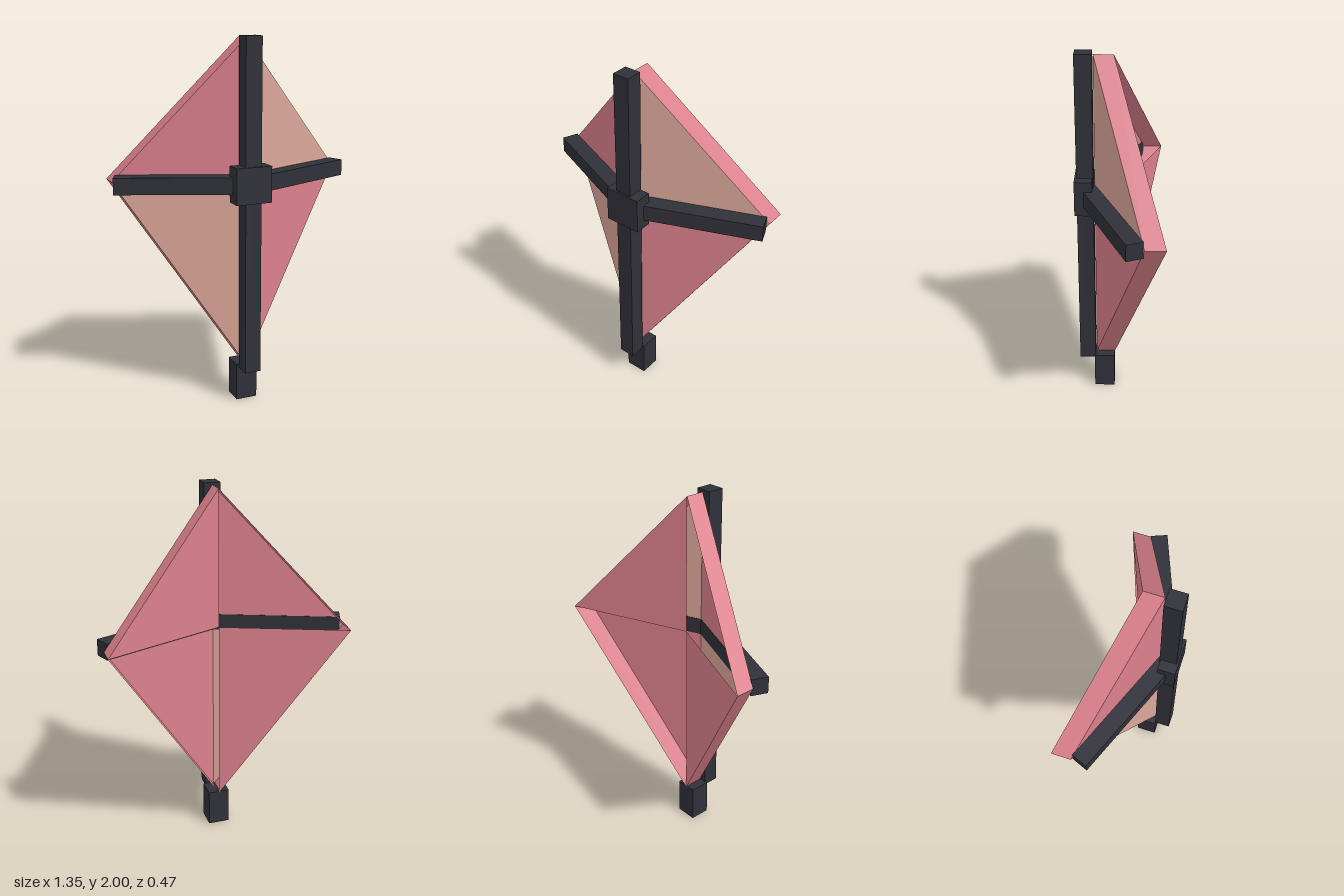
import * as THREE from 'three';

export function createModel() {
  const group = new THREE.Group();
  group.name = 'kite';

  const cloth = (name, color) => {
    const m = new THREE.MeshStandardMaterial({ color, side: THREE.DoubleSide });
    m.name = name;
    return m;
  };
  const rose = cloth('rose', 0xdb808c);
  const tan = cloth('tan', 0xdba799);
  const dark = new THREE.MeshStandardMaterial({ color: 0x303139 });
  dark.name = 'charcoal';

  const add = (name, geometry, material) => {
    const mesh = new THREE.Mesh(geometry, material);
    mesh.name = name;
    group.add(mesh);
    return mesh;
  };

  // Box given by its extents on each axis
  const box = (name, x, y, z) => {
    const [c, s] = [[], []];
    [x, y, z].forEach(([a, b]) => { c.push((a + b) / 2); s.push(b - a); });
    return add(name, new THREE.BoxGeometry(...s), dark).position.set(...c);
  };

  // Flat polygon from corner points, fanned from the first corner
  const panel = (name, pts, material) => {
    const tri = [];
    for (let i = 1; i < pts.length - 1; i++) tri.push(pts[0], pts[i], pts[i + 1]);
    const g = new THREE.BufferGeometry().setFromPoints(tri.map((p) => new THREE.Vector3(...p)));
    g.computeVertexNormals();
    return add(name, g, material);
  };

  // Frame
  box('spine', [-0.045, 0.045], [0.19, 2], [0.135, 0.225]);
  box('hub', [-0.1, 0.1], [1.14, 1.335], [0.14, 0.235]);
  box('handle', [-0.06, 0.06], [0, 0.21], [0.025, 0.14]);

  // Swept-back skin and spars
  const front = 0.13, depth = 0.105, tipX = 0.66, tipZ = -0.135, midY = 1.24;
  const sweep = Math.atan2(front - tipZ, tipX);
  const [c, s] = [Math.cos(sweep), Math.sin(sweep)];
  const back = ([x, y, z]) => [x, y, z - depth];

  for (const side of [1, -1]) {
    const label = side > 0 ? 'left' : 'right';

    // Spar lies along the front of the skin
    const half = 0.347, off = 0.043;
    const spar = add(label + 'Spar', new THREE.BoxGeometry(half * 2, 0.09, 0.09), dark);
    spar.position.set(side * (half * c + off * s), 1.235, front - half * s + off * c);
    spar.rotation.y = side * sweep;

    for (const upper of [true, false]) {
      const part = label + (upper ? 'Upper' : 'Lower');
      const isTan = upper === (side > 0);
      const mid = [0, midY, front];
      const tip = [side * tipX, midY, tipZ];
      const end = [0, upper ? 1.99 : 0.2, front];
      // Corners run counter-clockwise seen from the front
      const tri = isTan ? [mid, tip, end] : [mid, end, tip];
      if ((side > 0) !== upper && side < 0) tri.reverse();
      const ccw = (side > 0) === upper ? [mid, tip, end] : [mid, end, tip];
      panel(part + 'Sail', ccw, isTan ? tan : rose);

      // Outer rim joining front and back edges
      const [a, b] = [ccw[1], ccw[2]];
      panel(part + 'Rim', [a, back(a), back(b), b], rose);

      // Rear cover behind the tan sails only
      if (isTan) panel(part + 'Cover', ccw.map(back).reverse(), rose);
    }
  }
  return group;
}
